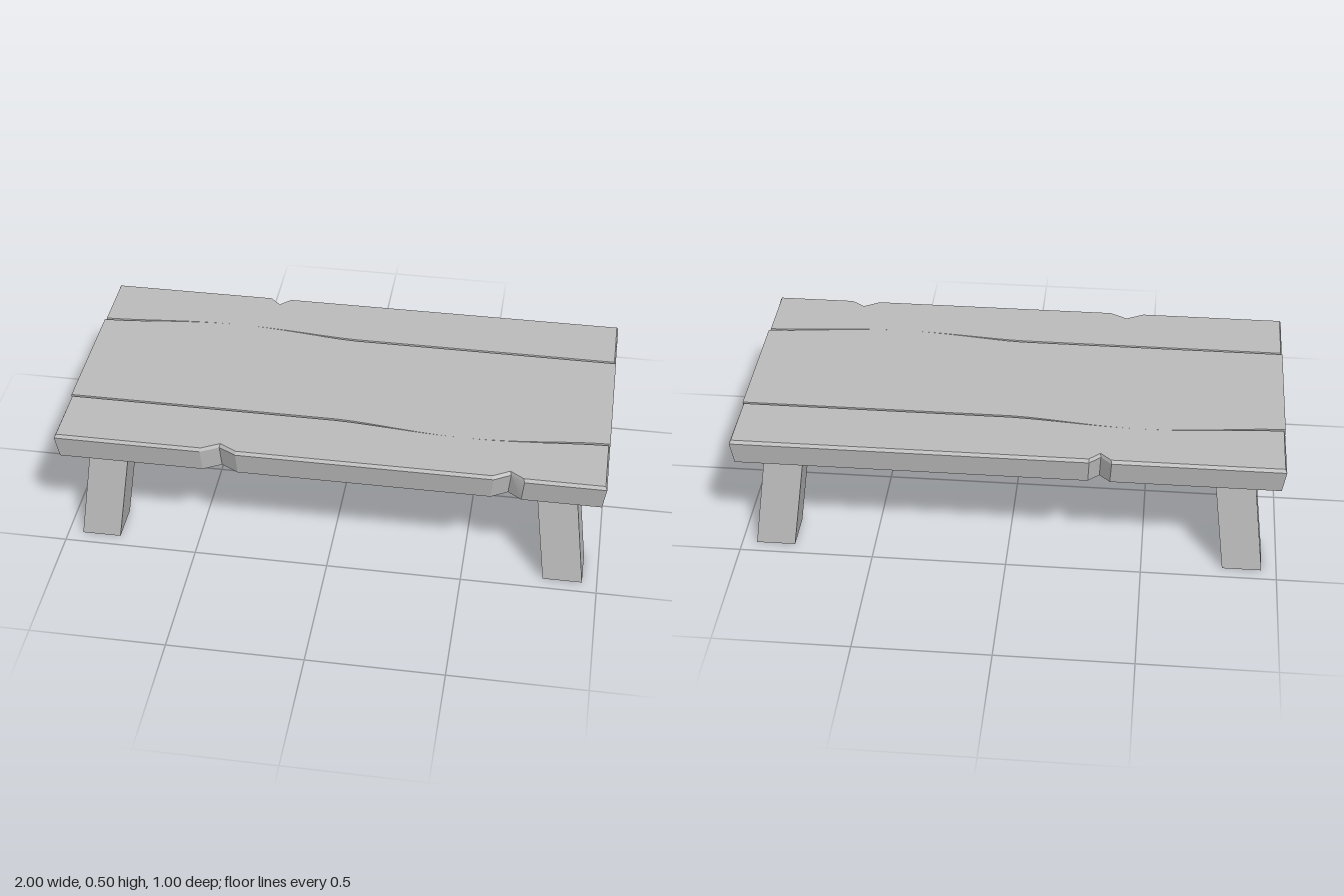
import * as THREE from 'three';
import { toCreasedNormals } from 'three/addons/utils/BufferGeometryUtils.js';

const wood = new THREE.MeshStandardMaterial({ color: 0xbcbcbc });
wood.name = 'grey';

// wavy seam between the middle board and the front board
const bump = x => Math.pow(Math.max(0, Math.sin(Math.PI * x)), 1.5);
const seam = x => 0.25 + 0.042 * bump(x);
const xs = Array.from({ length: 33 }, (_, i) => -1 + i / 16);

// extrudes an outline given as [x, z] upwards from y = 0
function slab(points, height, steps = 1) {
  const shape = new THREE.Shape(points.map(([x, z]) => new THREE.Vector2(x, -z)));
  const geo = new THREE.ExtrudeGeometry(shape, { depth: height, steps, bevelEnabled: false });
  return geo.rotateX(-Math.PI / 2);
}

function reshape(geo, rule) {
  const p = geo.attributes.position;
  for (let i = 0; i < p.count; i++) p.setXYZ(i, ...rule(p.getX(i), p.getY(i), p.getZ(i)));
  geo.computeVertexNormals();
  return geo;
}

function add(parent, name, geo) {
  const mesh = new THREE.Mesh(geo, wood);
  mesh.name = name;
  parent.add(mesh);
  return mesh;
}

// outer board: chipped outer edge, worn top edges, tapering to the underside
function sideBoard(notches) {
  const outer = [[-1, 0.5], ...notches.flat(), [1, 0.5]];
  const inner = xs.map(x => [x, seam(x)]).reverse();
  const geo = reshape(slab([...outer, ...inner], 0.1, 2), (x, y, z) => {
    const layer = Math.round(y / 0.05);
    const isInner = Math.abs(z - seam(x)) < 1e-4;
    const gap = 0.009 * (1 - bump(x));
    const dz = isInner ? [0, 0, gap][layer] : [-0.012, 0, -0.008][layer];
    const ny = 0.4 + [0, isInner ? 0.075 : 0.088, 0.1][layer];
    return [x * [0.988, 1, 0.994][layer], ny, z + dz];
  });
  return toCreasedNormals(geo, 0.4);
}

// ragged hanging end at +x
function flap() {
  const hem = [[0.25, 0.25], [0.2, 0.23], [0.145, 0.23], [0.075, 0.253], [0, 0.218],
    [-0.075, 0.218], [-0.145, 0.253], [-0.205, 0.235], [-0.25, 0.25]];
  const outline = [[0.25, 0.5], ...hem, [-0.25, 0.5]];
  const shape = new THREE.Shape(outline.map(([z, y]) => new THREE.Vector2(-z, y)));
  const geo = new THREE.ExtrudeGeometry(shape, { depth: 0.02, bevelEnabled: false });
  return geo.rotateY(Math.PI / 2).translate(0.98, 0, 0);
}

export function createModel() {
  const table = new THREE.Group();
  table.name = 'lowTable';

  // table top
  add(table, 'frontBoard', sideBoard([
    [[-0.46, 0.5], [-0.395, 0.465], [-0.33, 0.5]],
    [[0.6, 0.5], [0.66, 0.465], [0.71, 0.5]],
  ]));
  add(table, 'backBoard', sideBoard([
    [[0.3, 0.5], [0.34, 0.462], [0.38, 0.5]],
  ])).rotation.y = Math.PI;
  const front = xs.map(x => [x * 0.98, seam(x)]);
  const back = front.map(([x, z]) => [-x, -z]);
  add(table, 'middleBoard', slab([...front, ...back], 0.1).translate(0, 0.4, 0));

  // hanging ends
  add(table, 'leftFlap', flap());
  add(table, 'rightFlap', flap()).rotation.y = Math.PI;

  // splayed legs and the stretchers joining each pair
  for (const sx of [1, -1]) {
    const side = sx > 0 ? 'left' : 'right';
    for (const sz of [1, -1]) {
      const leg = reshape(new THREE.BoxGeometry(0.145, 0.4, 0.15), (x, y, z) => {
        const lean = 0.125 * (0.2 - y);
        return [x + sx * (0.823 + lean), y + 0.2, z + sz * (0.325 + lean)];
      });
      add(table, side + (sz > 0 ? 'FrontLeg' : 'BackLeg'), leg);
    }
    add(table, side + 'Stretcher', new THREE.BoxGeometry(0.08, 0.1, 0.62).translate(sx * 0.855, 0.15, 0));
  }
  return table;
}
